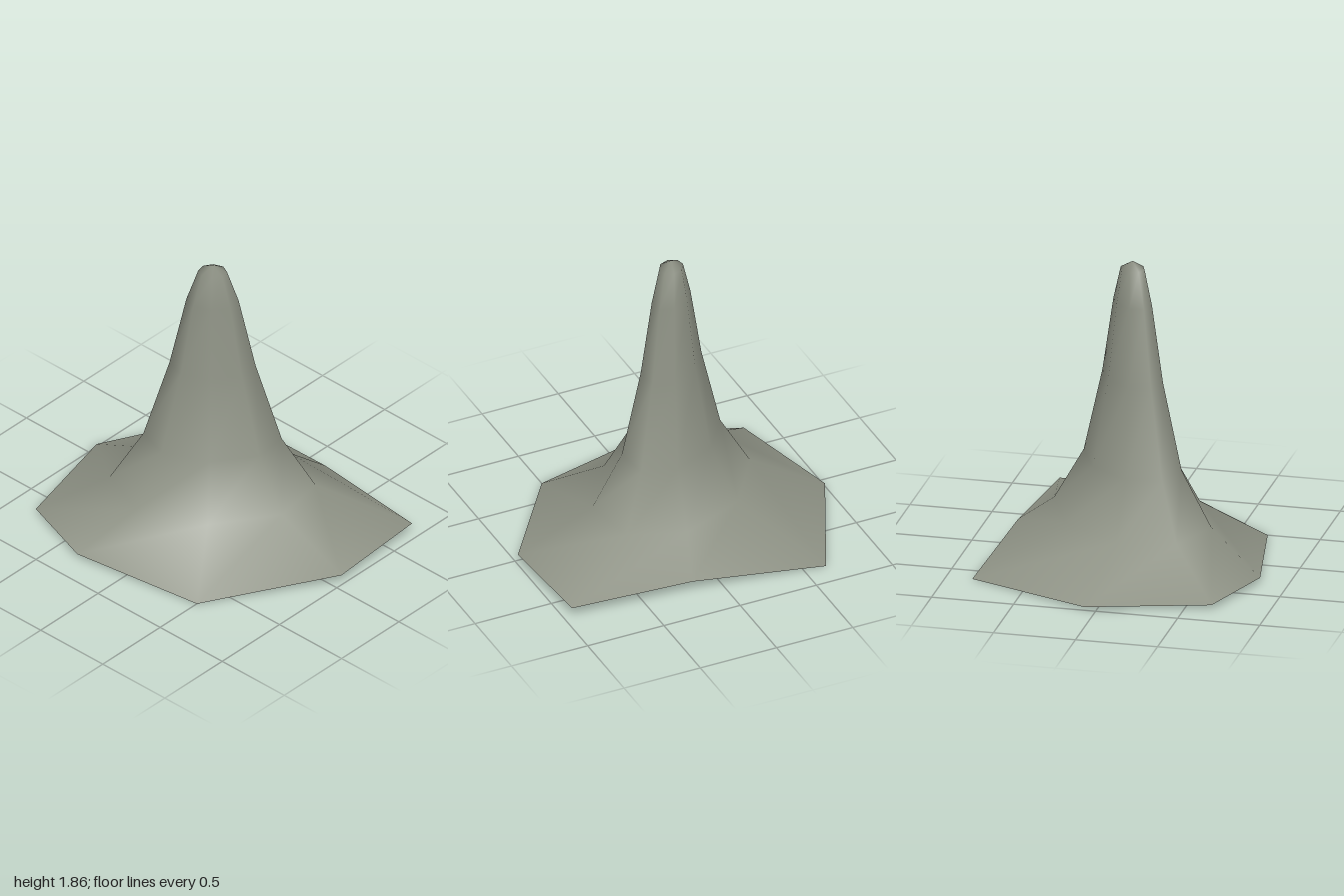
import * as THREE from 'three';

// Open rocky spire: an irregular eight-cornered skirt rising through oval rings to a blunt tip.
export function createModel() {
  const stone = new THREE.MeshStandardMaterial({ color: 0x8d9184, side: THREE.DoubleSide });
  stone.name = 'grey green stone';

  const sides = 8;
  const turn = -39 * Math.PI / 180; // direction of the long axis of the ovals
  const centre = -0.016;

  // Uneven foot of the skirt: x, y, z
  const skirt = [
    [0.96, 0.075, -0.70], [1.0, 0.07, -0.04], [0.5, 0, 0.68], [-0.32, 0.04, 0.835],
    [-0.815, 0.03, 0.66], [-1.0, 0.02, -0.07], [-0.64, 0, -0.84], [0.2, 0.085, -0.765],
  ];
  // Oval rings: height, long radius, short radius
  const rings = [
    [0.27, 0.61, 0.44], [0.6, 0.41, 0.26], [1.13, 0.255, 0.16],
    [1.6, 0.155, 0.105], [1.81, 0.085, 0.07],
  ];

  const positions = skirt.flat();
  for (const [y, long, short] of rings) {
    for (let k = 0; k < sides; k++) {
      const t = k / sides * Math.PI * 2;
      const u = long * Math.cos(t), v = short * Math.sin(t);
      positions.push(
        centre + u * Math.cos(turn) - v * Math.sin(turn),
        y,
        centre + u * Math.sin(turn) + v * Math.cos(turn));
    }
  }
  positions.push(centre, 1.855, centre);

  // Bands between rings, then the fan closing the tip
  const index = [];
  const tip = (rings.length + 1) * sides;
  for (let r = 0; r <= rings.length; r++) {
    for (let k = 0; k < sides; k++) {
      const a = r * sides + k, b = r * sides + (k + 1) % sides;
      if (r === rings.length) index.push(a, tip, b);
      else index.push(a, a + sides, b, b, a + sides, b + sides);
    }
  }

  const geometry = new THREE.BufferGeometry();
  geometry.setAttribute('position', new THREE.Float32BufferAttribute(positions, 3));
  geometry.setIndex(index);
  geometry.computeVertexNormals();

  const spire = new THREE.Mesh(geometry, stone);
  spire.name = 'rockSpire';
  const group = new THREE.Group();
  group.name = 'stalagmite';
  group.add(spire);
  return group;
}
